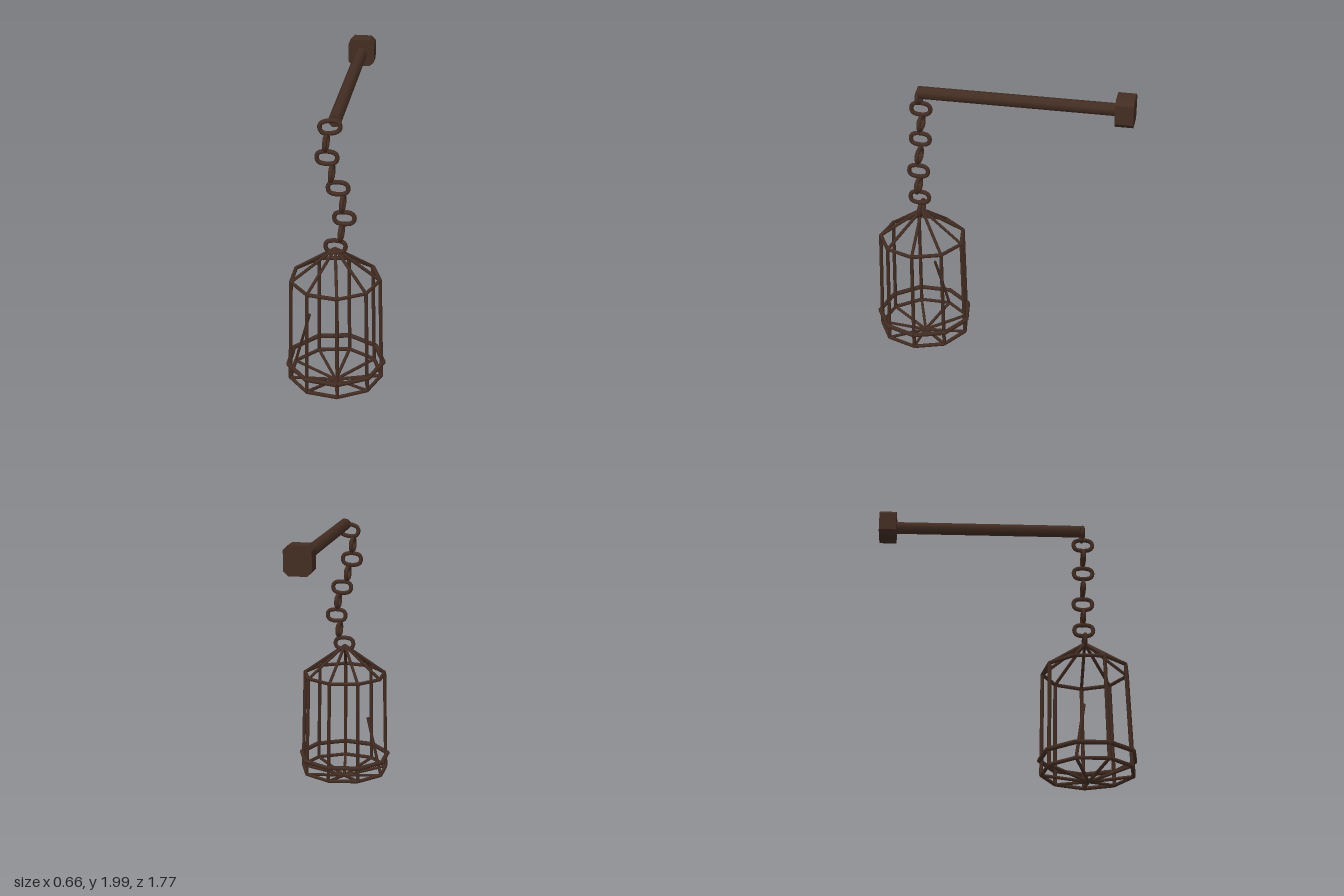
import * as THREE from 'three';

export function createModel() {
  const group = new THREE.Group();
  const iron = new THREE.MeshStandardMaterial({ color: 0x432d22 });
  iron.name = 'dark rusty iron';
  const CX = -0.01, CZ = 0.55, SIDES = 9;

  const add = (name, geometry, parent = group) => {
    const mesh = new THREE.Mesh(geometry, iron);
    mesh.name = name;
    parent.add(mesh);
    return mesh;
  };

  // Straight rod between two points
  const rod = (name, a, b, radius, parent, sides = 6) => {
    const dir = b.clone().sub(a);
    const geo = new THREE.CylinderGeometry(radius, radius, dir.length(), sides);
    const mesh = add(name, geo, parent);
    mesh.position.copy(a).add(b).multiplyScalar(0.5);
    mesh.quaternion.setFromUnitVectors(new THREE.Vector3(0, 1, 0), dir.normalize());
    return mesh;
  };

  // Corner of the nine-sided cage
  const corner = (i, radius, y) => {
    const t = (i / SIDES) * Math.PI * 2;
    return new THREE.Vector3(CX + radius * Math.cos(t), y, CZ + radius * Math.sin(t));
  };

  // Wall block with clipped corners
  const w = 0.09, h = 0.095, c = 0.03;
  const outline = new THREE.Shape([
    [-w + c, -h], [w - c, -h], [w, -h + c], [w, h - c],
    [w - c, h], [-w + c, h], [-w, h - c], [-w, -h + c],
  ].map(([x, y]) => new THREE.Vector2(x, y)));
  add('wallBlock', new THREE.ExtrudeGeometry(outline, { depth: 0.12, bevelEnabled: false }))
    .position.set(CX, 1.905, -0.89);

  // Beam reaching out from the wall
  const beam = add('beam', new THREE.CylinderGeometry(0.042, 0.042, 1.35, 8).rotateY(Math.PI / 8).rotateX(Math.PI / 2));
  beam.position.set(CX, 1.903, -0.125);

  // Chain: wide oval links, alternately turned a quarter
  const chain = new THREE.Group();
  chain.name = 'chain';
  group.add(chain);
  const oval = new THREE.CatmullRomCurve3([
    [0.066, 0], [0.056, 0.028], [0.028, 0.04], [-0.028, 0.04],
    [-0.056, 0.028], [-0.066, 0], [-0.056, -0.028], [-0.028, -0.04],
    [0.028, -0.04], [0.056, -0.028],
  ].map(([x, y]) => new THREE.Vector3(x, y, 0)), true);
  const linkGeo = new THREE.TubeGeometry(oval, 24, 0.015, 7, true);
  const sway = [-0.04, -0.065, -0.06, -0.03, 0.01, 0.04, 0.05, 0.03, -0.008];
  sway.forEach((x, i) => {
    const link = add('chainLink', linkGeo, chain);
    link.position.set(x, 1.863 - i * 0.1035, CZ);
    if (i % 2) link.rotation.y = Math.PI / 2;
    if (i === 0) link.rotation.z = 0.15;
  });

  // Cage: hoops, bars, roof and floor spokes
  const cage = new THREE.Group();
  cage.name = 'cage';
  group.add(cage);
  const apex = new THREE.Vector3(CX, 1.02, CZ);
  const base = new THREE.Vector3(CX, 0.02, CZ);
  const topR = 0.295, lowR = 0.312, bandR = 0.324;
  const brokenBar = 5;
  for (let i = 0; i < SIDES; i++) {
    const top = corner(i, topR, 0.805), low = corner(i, lowR, 0.08);
    rod('topHoop', top, corner(i + 1, topR, 0.805), 0.013, cage);
    rod('bottomHoop', low, corner(i + 1, lowR, 0.08), 0.013, cage);
    rod('outerBand', corner(i, bandR, 0.183), corner(i + 1, bandR, 0.183), 0.016, cage);
    rod('roofSpoke', top, apex, 0.011, cage);
    rod('floorSpoke', low, base, 0.011, cage);
    // One bar has snapped and leans inward
    if (i === brokenBar) rod('brokenBar', low, new THREE.Vector3(-0.19, 0.495, 0.515), 0.011, cage);
    else rod('cageBar', low, top, 0.013, cage);
  }
  return group;
}
